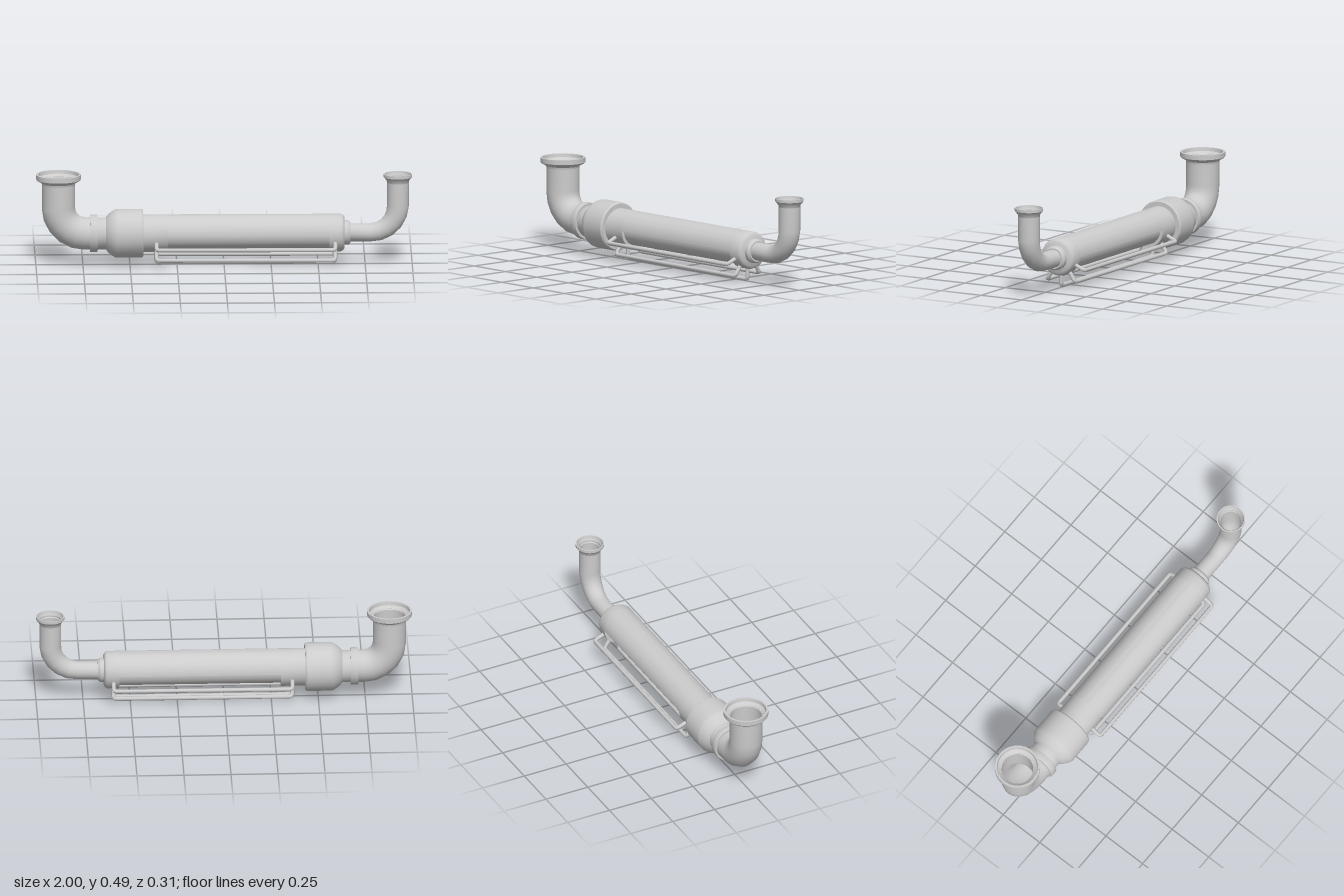
import * as THREE from 'three';
import { toCreasedNormals } from 'three/addons/utils/BufferGeometryUtils.js';

const AXIS_Y = 0.169;
const material = new THREE.MeshStandardMaterial({ color: 0xcccccc, side: THREE.DoubleSide });

function addPart(parent, name, geometry) {
  const mesh = new THREE.Mesh(geometry, material);
  mesh.name = name;
  parent.add(mesh);
  return mesh;
}

// Turned part from [radius, height] pairs
function turned(profile, sides = 24) {
  const points = profile.map(([r, h]) => new THREE.Vector2(r, h));
  return toCreasedNormals(new THREE.LatheGeometry(points, sides), 0.6);
}

// Turned part lying along x, from [x, radius] pairs
function turnedAlongX(profile, sides) {
  return turned(profile.map(([x, r]) => [r, x]), sides).rotateZ(-Math.PI / 2).translate(0, AXIS_Y, 0);
}

// Round pipe along a path of [x, y, radius] in the xy plane, mitred at each joint
function pipe(path, sides) {
  const positions = [], index = [];
  const direction = (a, b) => new THREE.Vector2(b[0] - a[0], b[1] - a[1]).normalize();
  path.forEach((p, i) => {
    const before = direction(path[Math.max(i - 1, 0)], path[Math.max(i, 1)]);
    const after = direction(path[Math.min(i, path.length - 2)], path[Math.min(i + 1, path.length - 1)]);
    const tangent = before.clone().add(after).normalize();
    const mitre = 1 / tangent.dot(before);
    for (let j = 0; j < sides; j++) {
      const a = (j / sides) * Math.PI * 2;
      const n = Math.cos(a) * p[2] * mitre;
      positions.push(p[0] - tangent.y * n, p[1] + tangent.x * n, Math.sin(a) * p[2]);
      if (i === 0) continue;
      const k = (j + 1) % sides;
      const u = (i - 1) * sides, v = i * sides;
      index.push(u + j, v + k, u + k, u + j, v + j, v + k);
    }
  });
  const geometry = new THREE.BufferGeometry();
  geometry.setAttribute('position', new THREE.Float32BufferAttribute(positions, 3));
  geometry.setIndex(index);
  geometry.computeVertexNormals();
  return geometry;
}

// Quarter bend from the horizontal axis up to a vertical pipe at x
function elbowPath(startX, x, bend, topY, r0, r1) {
  const side = Math.sign(x - startX), path = [[startX, AXIS_Y, r0]];
  const steps = 5;
  for (let i = 0; i <= steps; i++) {
    const a = (i / steps) * Math.PI / 2;
    path.push([
      x - side * bend * (1 - Math.sin(a)),
      AXIS_Y + bend * (1 - Math.cos(a)),
      r0 + (r1 - r0) * i / steps,
    ]);
  }
  path.push([x, topY, r1]);
  return path;
}

// Dished flange with an open mouth
function flange(rPipe, rRim, bottom, top) {
  const wall = (rRim - rPipe) * 0.35;
  return turned([
    [rPipe - 0.002, bottom - 0.02], [rPipe + 0.002, bottom], [rRim - 0.004, bottom + 0.015],
    [rRim, bottom + 0.02], [rRim, top], [rRim - wall, top], [rRim - wall - 0.003, top - 0.018],
    [rPipe - 0.004, top - 0.035], [rPipe - 0.004, bottom - 0.02],
  ]);
}

export function createModel() {
  const model = new THREE.Group();
  model.name = 'pipeAssembly';

  // Main barrel: full round ends, lower half recessed between them
  addPart(model, 'barrelRearEnd', turnedAlongX([[-0.44, 0], [-0.44, 0.1], [-0.3, 0.1], [-0.3, 0]], 32));
  const section = new THREE.Shape();
  section.absarc(0, 0, 0.1, 0, Math.PI, false);
  section.absarc(0, 0, 0.083, Math.PI, Math.PI * 2, false);
  section.closePath();
  const middle = new THREE.ExtrudeGeometry(section, { depth: 0.86, bevelEnabled: false, curveSegments: 16 });
  middle.rotateY(Math.PI / 2).translate(-0.3, AXIS_Y, 0);
  addPart(model, 'recessedBarrel', toCreasedNormals(middle, 0.6));
  addPart(model, 'barrelFrontEnd', turnedAlongX(
    [[0.56, 0], [0.56, 0.1], [0.62, 0.1], [0.632, 0.095], [0.64, 0.083], [0.64, 0]], 32));

  // Outlet neck
  addPart(model, 'outletRing', turnedAlongX(
    [[0.635, 0], [0.635, 0.065], [0.66, 0.065], [0.672, 0.056], [0.672, 0.045]]));

  // Wide collar, neck and clamp ring
  addPart(model, 'collar', turnedAlongX([
    [-0.68, 0.08], [-0.67, 0.085], [-0.628, 0.085], [-0.615, 0.103], [-0.582, 0.127], [-0.565, 0.13],
    [-0.438, 0.13], [-0.43, 0.124], [-0.43, 0.098],
  ]));
  addPart(model, 'clampRing', turnedAlongX(
    [[-0.712, 0.08], [-0.712, 0.098], [-0.707, 0.1], [-0.677, 0.1], [-0.672, 0.098], [-0.672, 0.08]]));

  // Large inlet elbow
  addPart(model, 'inletElbow', pipe(elbowPath(-0.7, -0.88, 0.14, 0.46, 0.086, 0.088), 24));
  addPart(model, 'inletFlange', flange(0.088, 0.12, 0.445, 0.49)).position.x = -0.88;

  // Small outlet elbow, widening upward
  addPart(model, 'outletElbow', pipe(elbowPath(0.66, 0.924, 0.145, 0.465, 0.048, 0.058), 20));
  addPart(model, 'outletFlange', flange(0.058, 0.076, 0.451, 0.486)).position.x = 0.924;

  // Guard rods fanned around the underside
  const rod = pipe([
    [-0.36, -0.07], [-0.36, -0.143], [-0.356, -0.154], [-0.345, -0.158],
    [0.575, -0.158], [0.586, -0.154], [0.59, -0.143], [0.59, -0.07],
  ].map(([x, y]) => [x, y, 0.011]), 8);
  for (let i = -2; i <= 2; i++) {
    const mesh = addPart(model, 'guardRod', rod);
    mesh.position.y = AXIS_Y;
    mesh.rotation.x = THREE.MathUtils.degToRad(33 * i);
  }
  return model;
}
